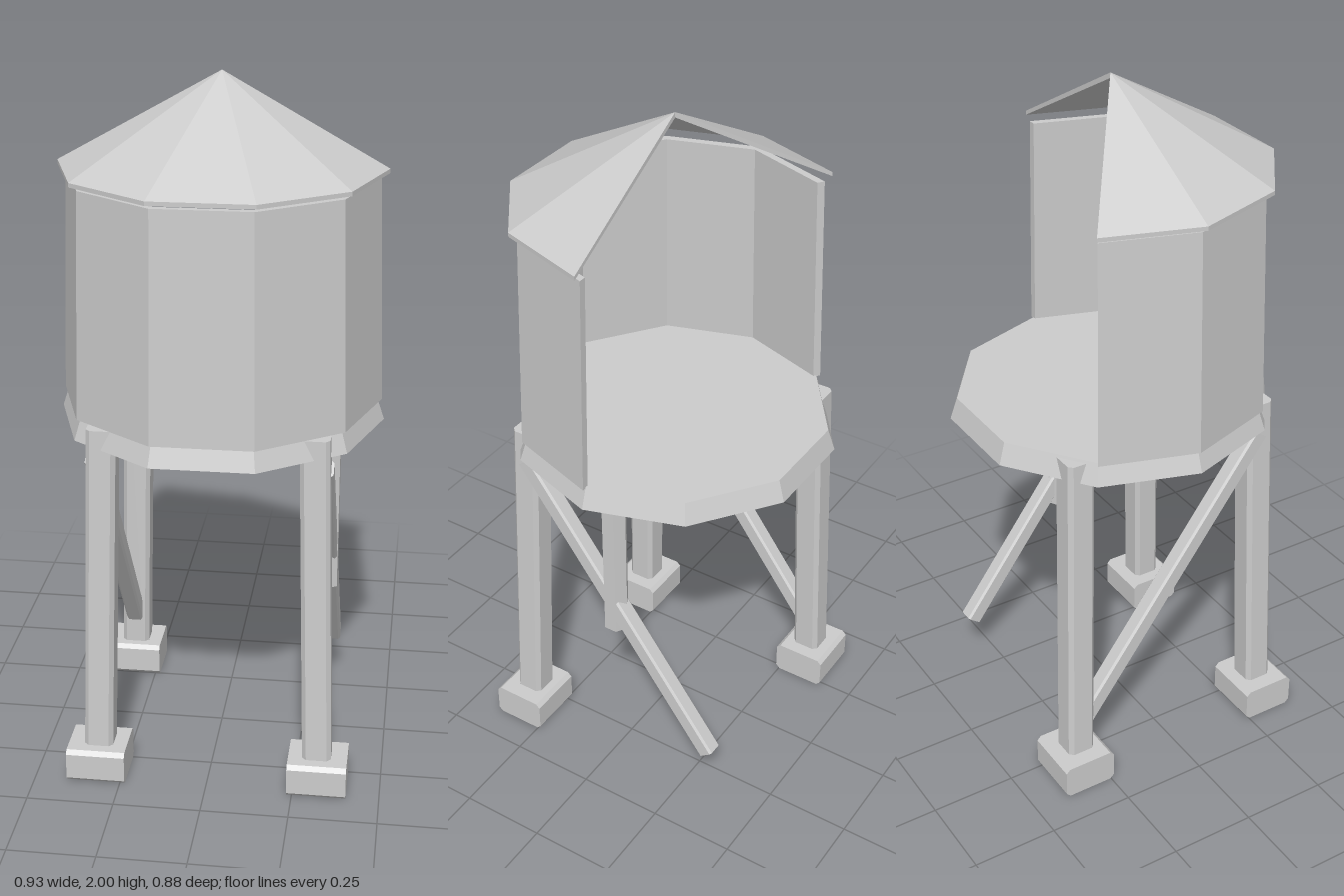
import * as THREE from 'three';

const grey = new THREE.MeshStandardMaterial({ color: 0xcccccc, flatShading: true });
grey.name = 'lightGrey';

function part(geometry, name, parent) {
  const flat = geometry.index ? geometry.toNonIndexed() : geometry;
  flat.computeVertexNormals();
  const mesh = new THREE.Mesh(flat, grey);
  mesh.name = name;
  parent.add(mesh);
  return mesh;
}

// Bar with chamfered long edges, running along z and centred on the origin
function bar(width, height, length, chamfer) {
  const w = width / 2, h = height / 2, c = chamfer;
  const outline = [[w, -h + c], [w, h - c], [w - c, h], [-w + c, h],
    [-w, h - c], [-w, -h + c], [-w + c, -h], [w - c, -h]];
  const shape = new THREE.Shape(outline.map(([x, y]) => new THREE.Vector2(x, y)));
  return new THREE.ExtrudeGeometry(shape, { depth: length, bevelEnabled: false })
    .translate(0, 0, -length / 2);
}

// Six of ten sides of a faceted shell, with its two open ends capped
const START = THREE.MathUtils.degToRad(-126);
const SWEEP = THREE.MathUtils.degToRad(216);
function brokenShell(profile, closed, name, parent) {
  const group = new THREE.Group();
  group.name = name;
  const pts = profile.map(([x, y]) => new THREE.Vector2(x, y));
  const loop = closed ? [...pts, pts[0]] : pts;
  part(new THREE.LatheGeometry(loop, 6, START, SWEEP), name + 'Panels', group);
  [START, START + SWEEP].forEach((angle, i) => {
    const cap = new THREE.ShapeGeometry(new THREE.Shape(pts));
    if (i === 1) cap.setIndex(Array.from(cap.index.array).reverse());
    cap.rotateY(angle - Math.PI / 2);
    part(cap, name + 'BrokenEdge', group);
  });
  parent.add(group);
}

export function createModel() {
  const model = new THREE.Group();
  model.name = 'brokenWaterTower';

  // Tank: conical roof, tapered wall, ten-sided floor
  brokenShell([[0, 1.985], [0.458, 1.732], [0.458, 1.744], [0, 2]], false, 'roof', model);
  brokenShell([[0.435, 1.08], [0.457, 1.08], [0.436, 1.72], [0.414, 1.72]], true, 'tankWall', model);
  const floor = new THREE.CylinderGeometry(0.444, 0.465, 0.063, 10).rotateY(Math.PI / 10);
  part(floor, 'tankFloor', model).position.y = 1.0515;

  // Three leaning legs on footings; the back left one is missing
  for (const [sx, sz] of [[1, 1], [-1, 1], [-1, -1]]) {
    const leg = bar(0.083, 0.083, 0.985, 0.012).rotateX(-Math.PI / 2).translate(0, 0.5825, 0);
    const p = leg.attributes.position;
    for (let i = 0; i < p.count; i++) {
      const offset = THREE.MathUtils.mapLinear(p.getY(i), 0.09, 1.075, 0.317, 0.292);
      p.setX(i, p.getX(i) + sx * offset);
      p.setZ(i, p.getZ(i) + sz * offset);
    }
    part(leg, 'leg', model);

    const foot = bar(0.16, 0.1, 0.17, 0.012).rotateY(Math.PI / 2);
    part(foot, 'footing', model).position.set(sx * 0.32, 0.05, sz * 0.32);
  }

  // Diagonal braces on both sides, front top to back bottom
  const top = new THREE.Vector2(0.29, 0.98), bottom = new THREE.Vector2(-0.325, 0.15);
  for (const side of [1, -1]) {
    const brace = part(bar(0.05, 0.05, top.distanceTo(bottom), 0.006), 'brace', model);
    brace.position.set(side * 0.318, (top.y + bottom.y) / 2, (top.x + bottom.x) / 2);
    brace.rotation.x = -Math.atan2(top.y - bottom.y, top.x - bottom.x);
  }

  // Six-sided pipe hanging under the floor
  const pipe = new THREE.CylinderGeometry(0.038, 0.038, 0.54, 6);
  part(pipe, 'drainPipe', model).position.set(0.312, 0.76, 0.003);

  return model;
}
